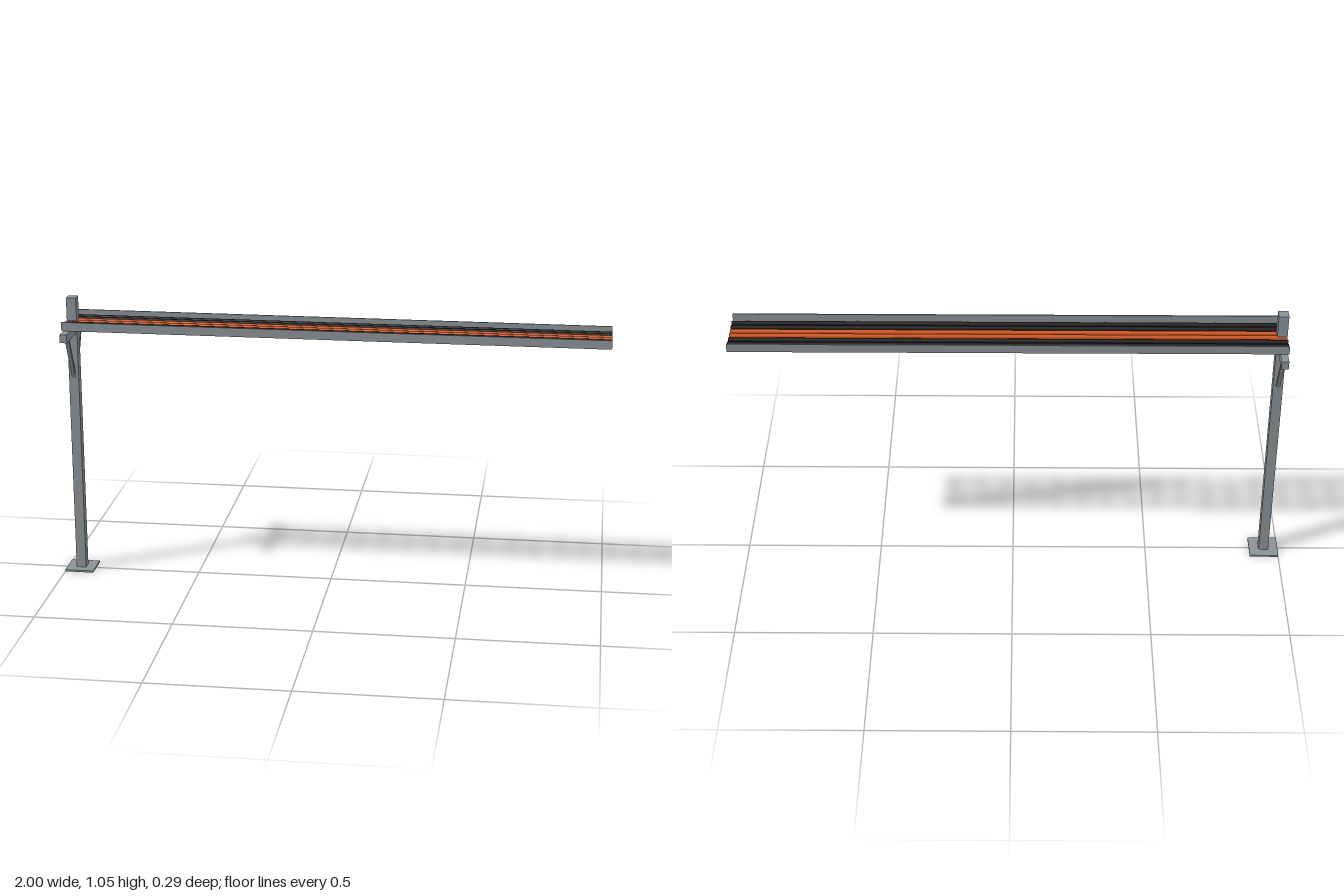
import * as THREE from 'three';

export function createModel() {
  const model = new THREE.Group();
  model.name = 'cableTrayOnPost';

  const material = (name, color) => {
    const m = new THREE.MeshStandardMaterial({ color });
    m.name = name;
    return m;
  };
  const steel = material('galvanisedSteel', 0x8a9296);
  const black = material('blackCable', 0x1a1a1a);
  const orange = material('orangeCable', 0xd4561a);

  const add = (name, geometry, mat, x, y, z, parent = model) => {
    const mesh = new THREE.Mesh(geometry, mat);
    mesh.name = name;
    mesh.position.set(x, y, z);
    parent.add(mesh);
    return mesh;
  };
  const box = (name, w, h, d, x, y, z, parent) =>
    add(name, new THREE.BoxGeometry(w, h, d), steel, x, y, z, parent);

  // Post with base plate and cross arm
  const postX = -0.947;
  box('basePlate', 0.107, 0.007, 0.108, postX, 0.0035, 0);
  box('post', 0.036, 1.05, 0.036, postX, 0.525, 0);
  box('crossArm', 0.026, 0.031, 0.294, postX, 0.9305, 0);

  // Diagonal braces from post to arm
  for (const side of [-1, 1]) {
    const low = new THREE.Vector3(postX, 0.753, side * 0.014);
    const high = new THREE.Vector3(postX, 0.92, side * 0.095);
    const brace = box('brace', 0.014, low.distanceTo(high), 0.011, 0, 0, 0);
    brace.position.addVectors(low, high).multiplyScalar(0.5);
    brace.quaternion.setFromUnitVectors(
      new THREE.Vector3(0, 1, 0), high.clone().sub(low).normalize());
  }

  // Ladder tray: two side rails and evenly spaced rungs
  const start = -0.965, end = 1;
  const length = end - start, midX = (start + end) / 2;
  const tray = new THREE.Group();
  tray.name = 'cableTray';
  model.add(tray);
  for (const side of [-1, 1])
    box('sideRail', length, 0.032, 0.005, midX, 0.963, side * 0.0975, tray);
  const rungs = 20;
  for (let i = 0; i < rungs; i++)
    box('rung', 0.01, 0.005, 0.19, -0.916 + i * 0.0981, 0.949, 0, tray);

  // Open-ended cables lying on the rungs, the middle pair orange
  const radius = 0.008;
  const cableGeometry = new THREE.CylinderGeometry(radius, radius, length, 10, 1, true);
  cableGeometry.rotateZ(Math.PI / 2);
  for (let i = 0; i < 6; i++) {
    const middle = i === 2 || i === 3;
    add(middle ? 'orangeCable' : 'blackCable', cableGeometry, middle ? orange : black,
      midX, 0.9515 + radius, (i - 2.5) * 0.027, tray);
  }

  return model;
}
